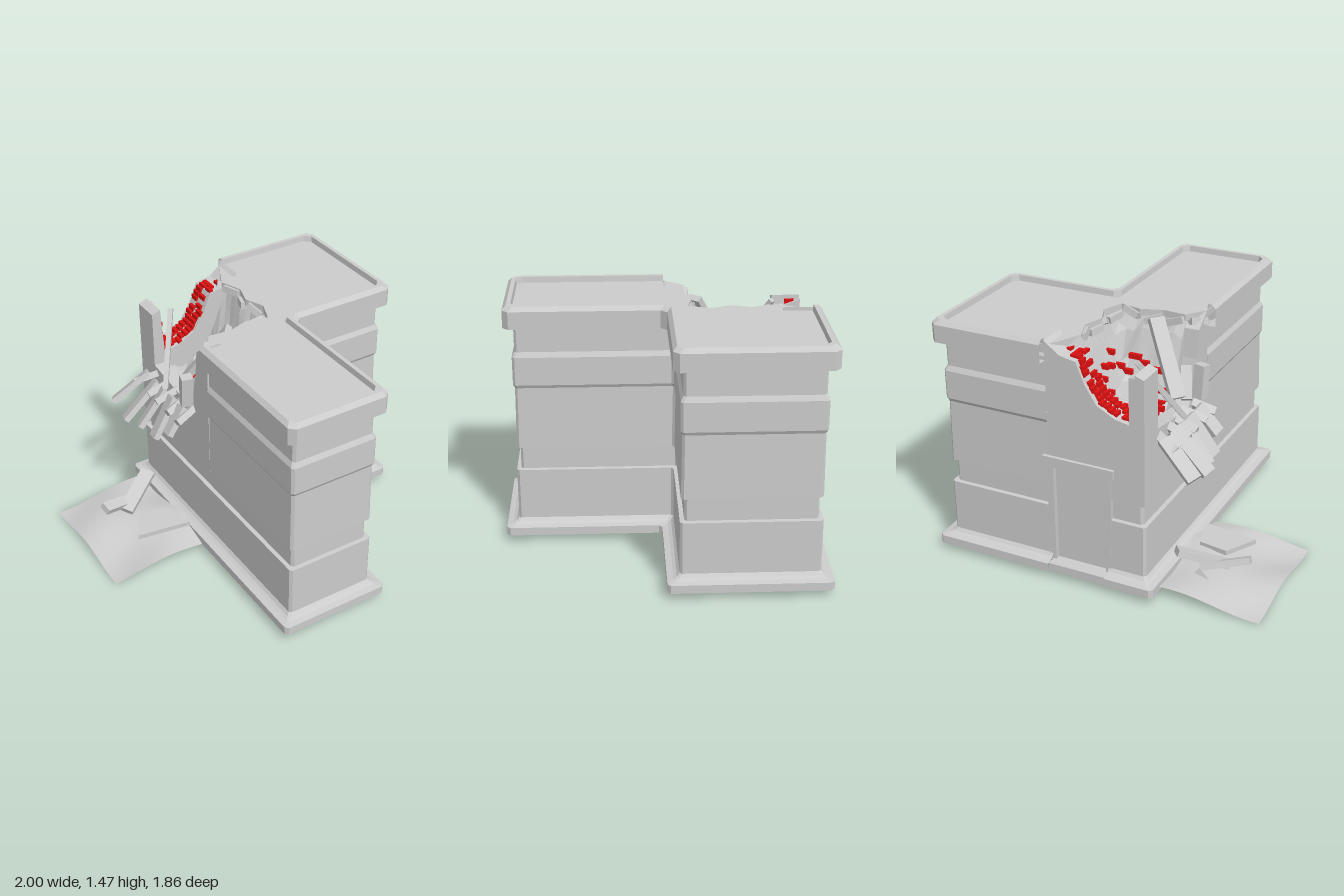
import * as THREE from 'three';

const grey = new THREE.MeshStandardMaterial({ color: 0xcccccc, flatShading: true, side: THREE.DoubleSide });
const smooth = new THREE.MeshStandardMaterial({ color: 0xcccccc, side: THREE.DoubleSide });
const red = new THREE.MeshStandardMaterial({ color: 0xdd1111 });

let seed = 7;
const rnd = () => (seed = (seed * 16807) % 2147483647) / 2147483647;
const V = (x, y, z) => new THREE.Vector3(x, y, z);

function add(parent, name, geo, mat = grey, x = 0, y = 0, z = 0) {
  const m = new THREE.Mesh(geo, mat);
  m.name = name;
  m.position.set(x, y, z);
  parent.add(m);
  return m;
}

// Box given by its limits
function box(parent, name, x0, x1, y0, y1, z0, z1, mat) {
  return add(parent, name, new THREE.BoxGeometry(x1 - x0, y1 - y0, z1 - z0), mat,
    (x0 + x1) / 2, (y0 + y1) / 2, (z0 + z1) / 2);
}

// Straight slab running from a to b
function slab(parent, name, a, b, w, h, roll = 0) {
  const m = add(parent, name, new THREE.BoxGeometry(w, h, a.distanceTo(b)));
  m.position.copy(a).add(b).multiplyScalar(0.5);
  m.lookAt(b);
  m.rotateZ(roll);
  return m;
}

// Moves an axis-aligned path inwards by t and chamfers its corners by c
function insetPath(path, t, c) {
  const out = [], n = path.length;
  const dir = i => new THREE.Vector2().subVectors(path[i + 1], path[i]).normalize();
  path.forEach((p, i) => {
    const d1 = i > 0 ? dir(i - 1) : null, d2 = i < n - 1 ? dir(i) : null;
    const q = p.clone();
    for (const d of [d1, d2]) if (d) q.add(new THREE.Vector2(-d.y, d.x).multiplyScalar(t));
    if (d1 && d2) out.push(q.clone().addScaledVector(d1, -c), q.clone().addScaledVector(d2, c));
    else out.push(q);
  });
  return out;
}

// Sweeps a profile of [inset, height, chamfer] round a plan path
function sweepWall(parent, name, pts, profile) {
  const path = pts.map(p => new THREE.Vector2(...p));
  const pos = [], idx = [];
  let n = 0;
  profile.forEach(([t, y, c = 0.015]) => {
    const row = insetPath(path, t, c);
    n = row.length;
    row.forEach(p => pos.push(p.x, y, p.y));
  });
  for (let j = 0; j < profile.length - 1; j++) for (let i = 0; i < n - 1; i++) {
    const a = j * n + i, b = a + n;
    idx.push(a, b, a + 1, a + 1, b, b + 1);
  }
  const g = new THREE.BufferGeometry();
  g.setAttribute('position', new THREE.Float32BufferAttribute(pos, 3));
  g.setIndex(idx);
  g.computeVertexNormals();
  return add(parent, name, g);
}

const extrude = (pts, depth) => new THREE.ExtrudeGeometry(
  new THREE.Shape(pts.map(p => new THREE.Vector2(...p))), { depth, bevelEnabled: false });

// Grid over x and z with its height set by a rule
function heightField(x0, x1, z0, z1, nx, nz, rule) {
  const g = new THREE.PlaneGeometry(x1 - x0, z1 - z0, nx, nz).rotateX(-Math.PI / 2)
    .translate((x0 + x1) / 2, 0, (z0 + z1) / 2);
  const p = g.attributes.position;
  for (let i = 0; i < p.count; i++) p.setY(i, rule(p.getX(i), p.getZ(i)));
  g.computeVertexNormals();
  return g;
}

export function createModel() {
  seed = 7;
  const root = new THREE.Group();
  root.name = 'damagedBuilding';

  // Plinth and lower walls, open at the doorway
  const ell = [[1, -0.93], [1, 0], [0.295, 0], [0.295, 0.93], [-0.4, 0.93]];
  sweepWall(root, 'lowerWalls', [[0.26, -0.93], ...ell, [-0.4, -0.93], [-0.1, -0.93]], [
    [0, 0.06, 0.02], [0, 0.11, 0.02], [0.035, 0.117], [0.055, 0.127], [0.07, 0.145],
    [0.07, 0.46], [0.095, 0.462], [0.095, 0.6], [0.075, 0.602]]);

  // Upper walls with moulded band and cornice, stopping at the broken corner
  sweepWall(root, 'upperWalls', [[0.27, -0.93], ...ell, [-0.4, -0.03]], [
    [0.095, 0.6], [0.075, 0.602], [0.08, 0.98], [0.07, 1.0], [0.07, 1.17], [0.085, 1.2],
    [0.085, 1.35], [0.027, 1.355, 0.035], [0.027, 1.46, 0.035], [0.05, 1.485, 0.035],
    [0.075, 1.485, 0.035], [0.08, 1.445, 0.035]]);

  // Roof with the bite taken out of it
  const roof = [[0.25, -0.855], [0.925, -0.855], [0.925, -0.075], [0.22, -0.075], [0.22, 0.855],
    [-0.325, 0.855], [-0.325, -0.04], [-0.24, -0.15], [-0.1, -0.14], [0.03, -0.18], [0.16, -0.15],
    [0.21, -0.28], [0.16, -0.4], [0.2, -0.52], [0.15, -0.66], [0.2, -0.76]];
  add(root, 'roof', extrude(roof.map(([x, z]) => [x, -z]), 0.04).rotateX(-Math.PI / 2), grey, 0, 1.41, 0);

  // Broken back wall with door notch, and broken side wall
  const backEdge = [[-0.325, 1.35], [-0.27, 1.37], [-0.25, 1.07], [-0.15, 1.09], [-0.04, 1.15],
    [0.03, 1.26], [0.08, 1.38], [0.18, 1.4], [0.27, 1.47]];
  add(root, 'brokenBackWall', extrude([[0.27, 0.59], [0.26, 0.59], [0.26, 0.74], [-0.1, 0.74],
    [-0.1, 0.59], [-0.325, 0.59], ...backEdge], 0.17), grey, 0, 0, -0.855);
  add(root, 'brokenSideWall', extrude([[-0.03, 0.59], [-0.855, 0.59], [-0.855, 1.35], [-0.75, 1.31],
    [-0.71, 1.0], [-0.5, 0.97], [-0.3, 0.94], [-0.22, 1.0], [-0.17, 1.2], [-0.15, 1.37],
    [-0.03, 1.46]], 0.09).rotateY(-Math.PI / 2), grey, -0.235, 0, 0);

  // Doorway
  const door = new THREE.Group();
  door.name = 'doorway';
  root.add(door);
  box(door, 'lintel', -0.14, 0.3, 0.72, 0.78, -0.875, -0.8);
  box(door, 'door', -0.1, 0.26, 0.1, 0.73, -0.83, -0.8);
  box(door, 'threshold', -0.1, 0.26, 0.06, 0.11, -0.92, -0.8);
  for (const x of [-0.12, 0.24]) box(door, 'jamb', x, x + 0.04, 0.1, 0.73, -0.862, -0.8);

  // Collapsed interior, rising towards the sound parts of the roof
  const crater = (x, z) => {
    const f = Math.max((x + 0.08) / 0.28, (z + 0.45) / 0.28, 0);
    return 0.94 + 0.47 * Math.min(1, f * f) + 0.02 * Math.sin(37 * x + 23 * z);
  };
  add(root, 'collapsedFloor', heightField(-0.24, 0.21, -0.69, -0.14, 9, 10, crater));
  for (let i = 0; i < 20; i++) {
    const a = i * Math.PI / 10, r = 0.14 + 0.04 * rnd();
    const x = -0.03 + r * Math.cos(a), z = -0.42 + r * Math.sin(a);
    add(root, 'innerBrick', new THREE.BoxGeometry(0.075, 0.03, 0.025), red, x, crater(x, z) + 0.012, z);
  }

  // Bricks showing in the thickness of the broken back wall
  for (let i = 1; i < 7; i++) for (let k = 0; k < 4; k++) {
    const [xa, ya] = backEdge[i], [xb, yb] = backEdge[i + 1], t = (k + 0.5) / 4;
    for (const z of [-0.8, -0.73]) if (rnd() > 0.25)
      add(root, 'wallBrick', new THREE.BoxGeometry(0.025, 0.03, 0.055), red,
        xa + (xb - xa) * t, ya + (yb - ya) * t, z + 0.03 * (rnd() - 0.5));
  }

  // Broken slabs round the edge of the roof
  const rim = roof.slice(6).map(([x, z]) => V(x, 1.435, z));
  rim.slice(0, -1).forEach((p, i) => {
    const a = p.clone().lerp(rim[i + 1], 0.05), b = p.clone().lerp(rim[i + 1], 0.8);
    a.y -= 0.06 * rnd();
    b.y -= 0.06 * rnd();
    slab(root, 'roofRubble', a, b, 0.05, 0.04, 0.3 * rnd());
  });
  slab(root, 'leaningBeam', V(-0.08, 1.42, -0.2), V(-0.3, 1.04, -0.38), 0.09, 0.04);
  slab(root, 'leaningBeam', V(-0.2, 1.36, -0.68), V(-0.38, 0.97, -0.45), 0.03, 0.03);
  slab(root, 'looseBlock', V(-0.365, 0.99, -0.22), V(-0.37, 1.19, -0.2), 0.07, 0.06);
  slab(root, 'looseBlock', V(-0.32, 1.0, -0.3), V(-0.27, 1.16, -0.2), 0.06, 0.05);

  // Slabs hanging out of the side wall
  [[-0.7, -0.77, 0.58, 0.78], [-0.58, -0.6, 0.59, 0.74], [-0.48, -0.5, 0.54, 0.73],
    [-0.38, -0.36, 0.52, 0.72], [-0.26, -0.24, 0.49, 0.8]].forEach(([z0, z1, x, y]) => {
    slab(root, 'hangingSlab', V(-0.37, 0.95, z0), V(-x, y, z1), 0.085, 0.035, 0.35);
    slab(root, 'hangingRubble', V(-0.3, 0.95, z0 + 0.04), V(-0.45, 0.9, z1 + 0.05), 0.05, 0.04, 0.6);
  });

  // Heaped ground sheet and fallen slabs
  const mound = (x, z) => 0.035 + 0.02 * Math.sin(7 * x + 9 * z) + 0.05 * (x + 1)
    + 0.075 * Math.exp(-((x + 0.55) ** 2 + (z + 0.42) ** 2) * 18);
  add(root, 'groundSheet', heightField(-1, -0.38, -0.83, -0.02, 20, 26,
    (x, z) => Math.max(0, mound(x, z))), smooth);
  slab(root, 'fallenSlab', V(-0.82, 0.19, -0.51), V(-0.55, 0.12, -0.59), 0.07, 0.04, 0.4);
  slab(root, 'fallenSlab', V(-0.68, 0.12, -0.5), V(-0.43, 0.23, -0.66), 0.09, 0.04, 0.2);
  slab(root, 'fallenSlab', V(-0.66, 0.05, -0.66), V(-0.55, 0.1, -0.6), 0.06, 0.04, 0.5);
  add(root, 'fallenShard', extrude([[-0.74, 0.22], [-0.4, 0.17], [-0.45, 0.38], [-0.63, 0.41]], 0.03)
    .rotateX(-Math.PI / 2), grey, 0, 0.11, 0);
  return root;
}
